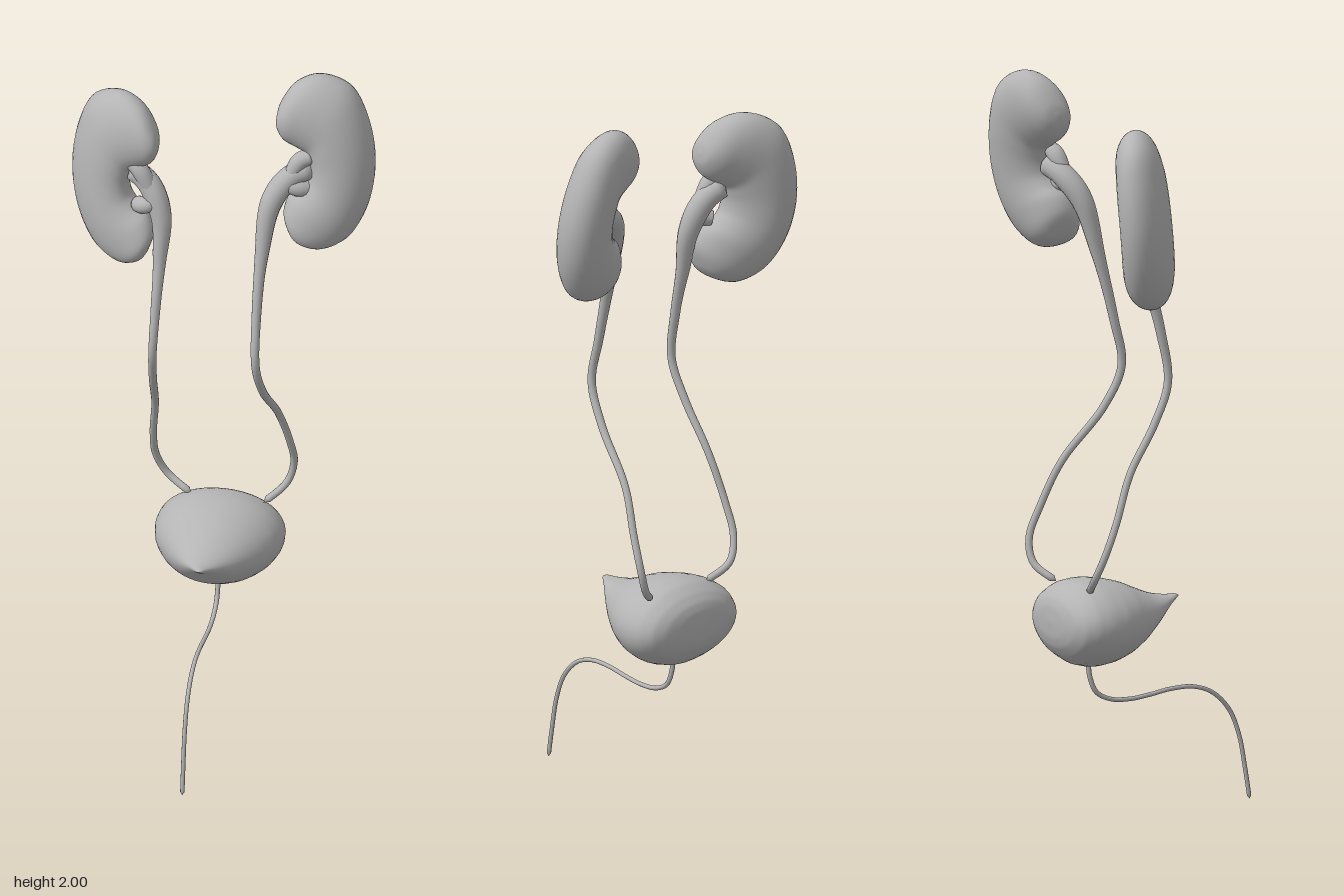
import * as THREE from 'three';
import { mergeVertices } from 'three/addons/utils/BufferGeometryUtils.js';

const V = (x, y, z) => new THREE.Vector3(x, y, z);
const curveOf = (pts) => new THREE.CatmullRomCurve3(pts.map((p) => V(...p)));

// Smooth skin over closed rings; at(t, a) gives the point at ring t (0..1), angle a
function loft(rings, sides, at) {
  const pos = [], index = [];
  for (let i = 0; i <= rings; i++) {
    for (let j = 0; j < sides; j++) {
      const p = at(i / rings, (j / sides) * Math.PI * 2);
      pos.push(p.x, p.y, p.z);
      if (i === rings) continue;
      const a = i * sides + j, b = i * sides + (j + 1) % sides;
      index.push(a, b, a + sides, b, b + sides, a + sides);
    }
  }
  let g = new THREE.BufferGeometry();
  g.setAttribute('position', new THREE.Float32BufferAttribute(pos, 3));
  g.setIndex(index);
  g = mergeVertices(g, 1e-5);
  g.computeVertexNormals();
  return g;
}

// Tube whose radius follows a list of values, with closed rounded-off ends
function taperedTube(pts, radii, rings = 90, sides = 14) {
  const path = curveOf(pts);
  const { normals, binormals } = path.computeFrenetFrames(rings, false);
  const rad = curveOf(radii.map((r, i) => [i, r, 0]));
  return loft(rings, sides, (t, a) => {
    const i = Math.round(t * rings);
    const r = i === 0 || i === rings ? 0 : rad.getPoint(t).y;
    return path.getPointAt(t)
      .addScaledVector(normals[i], r * Math.cos(a))
      .addScaledVector(binormals[i], r * Math.sin(a));
  });
}

// Bean sections fanned round the notch: inner x, y, outer x, y, half depth
const BEAN = [
  [-0.132, 0.135, -0.132, 0.135, 0],
  [-0.129, 0.1, -0.123, 0.17, 0.035],
  [-0.11, 0.067, -0.085, 0.225, 0.058],
  [-0.075, 0.045, -0.025, 0.247, 0.068],
  [-0.05, 0.03, 0.057, 0.215, 0.075],
  [-0.042, 0.01, 0.105, 0.13, 0.079],
  [-0.038, -0.015, 0.131, 0.01, 0.08],
  [-0.042, -0.045, 0.125, -0.094, 0.08],
  [-0.06, -0.07, 0.1, -0.17, 0.079],
  [-0.09, -0.095, 0.065, -0.22, 0.075],
  [-0.105, -0.14, 0.005, -0.247, 0.065],
  [-0.09, -0.19, -0.05, -0.233, 0.038],
  [-0.075, -0.215, -0.075, -0.215, 0],
];

// side +1 or -1, centre, roll in the front plane, backward lean outward and upward
function kidney(side, [cx, cy, cz], roll, leanOut, leanUp) {
  const inner = curveOf(BEAN.map((s) => [s[0], s[1], s[4]]));
  const outer = curveOf(BEAN.map((s) => [s[2], s[3], 0]));
  const axis = V(0, 0, 1);
  return loft(60, 32, (t, a) => {
    const p = inner.getPoint(t), q = outer.getPoint(t);
    const depth = Math.max(p.z, 0);
    p.z = q.z = 0;
    const v = p.lerp(q, 0.5 + 0.5 * Math.cos(a * side)).applyAxisAngle(axis, roll);
    const z = depth * Math.sin(a * side) - leanOut * v.x - leanUp * v.y;
    return V(cx + side * v.x, cy + v.y, cz + z);
  });
}

// Bladder sections from back to front tip: z, half width, top, bottom
const BLADDER = [
  [-0.308, 0, 0.535, 0.535],
  [-0.304, 0.075, 0.575, 0.492],
  [-0.295, 0.12, 0.598, 0.465],
  [-0.275, 0.155, 0.62, 0.437],
  [-0.24, 0.174, 0.64, 0.413],
  [-0.2, 0.177, 0.645, 0.405],
  [-0.15, 0.167, 0.64, 0.41],
  [-0.1, 0.143, 0.628, 0.426],
  [-0.05, 0.11, 0.607, 0.456],
  [0, 0.072, 0.588, 0.5],
  [0.05, 0.031, 0.58, 0.548],
  [0.075, 0.012, 0.58, 0.566],
  [0.087, 0, 0.575, 0.575],
];

function bladder() {
  const size = curveOf(BLADDER.map((s) => [s[1], s[2], s[3]]));
  const along = curveOf(BLADDER.map((s) => [0, 0, s[0]]));
  return loft(60, 40, (t, a) => {
    const s = size.getPoint(t);
    return V(-0.006 + Math.max(s.x, 0) * Math.cos(a),
      (s.y + s.z) / 2 + ((s.y - s.z) / 2) * Math.sin(a), along.getPoint(t).z);
  });
}

export function createModel() {
  const model = new THREE.Group();
  model.name = 'urinarySystem';
  const tissue = new THREE.MeshStandardMaterial({ color: 0xb4b4b4 });
  tissue.name = 'tissue grey';
  const add = (name, geometry) => {
    const mesh = new THREE.Mesh(geometry, tissue);
    mesh.name = name;
    model.add(mesh);
  };

  add('leftKidney', kidney(1, [0.285, 1.75, -0.2], 0, 0.2, 0.16));
  add('rightKidney', kidney(-1, [-0.282, 1.66, -0.165], -0.07, 0.42, 0.1));

  // Ureters widen into the pelvis at the kidney notch
  const radii = [0.03, 0.032, 0.024, 0.016, 0.013, 0.0115, 0.011, 0.0105, 0.01, 0.01, 0.01, 0.01];
  add('leftUreter', taperedTube([
    [0.26, 1.74, -0.18], [0.2, 1.715, -0.16], [0.153, 1.65, -0.125], [0.133, 1.5, -0.085],
    [0.127, 1.32, -0.04], [0.13, 1.19, -0.015], [0.139, 1.08, -0.065], [0.16, 0.94, -0.18],
    [0.18, 0.82, -0.235], [0.185, 0.73, -0.268], [0.165, 0.665, -0.265], [0.11, 0.62, -0.225],
  ], radii));
  add('rightUreter', taperedTube([
    [-0.24, 1.7, -0.145], [-0.185, 1.665, -0.125], [-0.147, 1.58, -0.102], [-0.146, 1.46, -0.078],
    [-0.15, 1.33, -0.045], [-0.155, 1.19, -0.025], [-0.163, 1.08, -0.07], [-0.173, 0.95, -0.15],
    [-0.188, 0.82, -0.2], [-0.187, 0.73, -0.235], [-0.158, 0.665, -0.25], [-0.09, 0.622, -0.23],
  ], radii));

  // Short branches from each pelvis into the kidney
  const branch = [0.02, 0.024, 0.022, 0.018];
  add('leftUpperBranch', taperedTube([[0.26, 1.78, -0.17], [0.225, 1.765, -0.165], [0.19, 1.7, -0.15]], branch, 20));
  add('leftLowerBranch', taperedTube([[0.25, 1.68, -0.16], [0.21, 1.69, -0.145], [0.18, 1.7, -0.145]], branch, 20));
  add('rightUpperBranch', taperedTube([[-0.24, 1.73, -0.13], [-0.21, 1.71, -0.12], [-0.17, 1.64, -0.11]], branch, 20));
  add('rightLowerBranch', taperedTube([[-0.22, 1.6, -0.12], [-0.19, 1.61, -0.1], [-0.16, 1.62, -0.105]], branch, 20));

  add('bladder', bladder());

  add('urethra', taperedTube([
    [-0.19, 0.42], [-0.185, 0.375], [-0.165, 0.33], [-0.12, 0.307], [-0.06, 0.303], [0, 0.31],
    [0.06, 0.32], [0.13, 0.321], [0.19, 0.3], [0.24, 0.25], [0.27, 0.18], [0.29, 0.08], [0.303, 0],
  ].map(([z, y]) => [-0.007, y, z]), [0.007, 0.006, 0.006, 0.006], 80, 10));

  return model;
}
